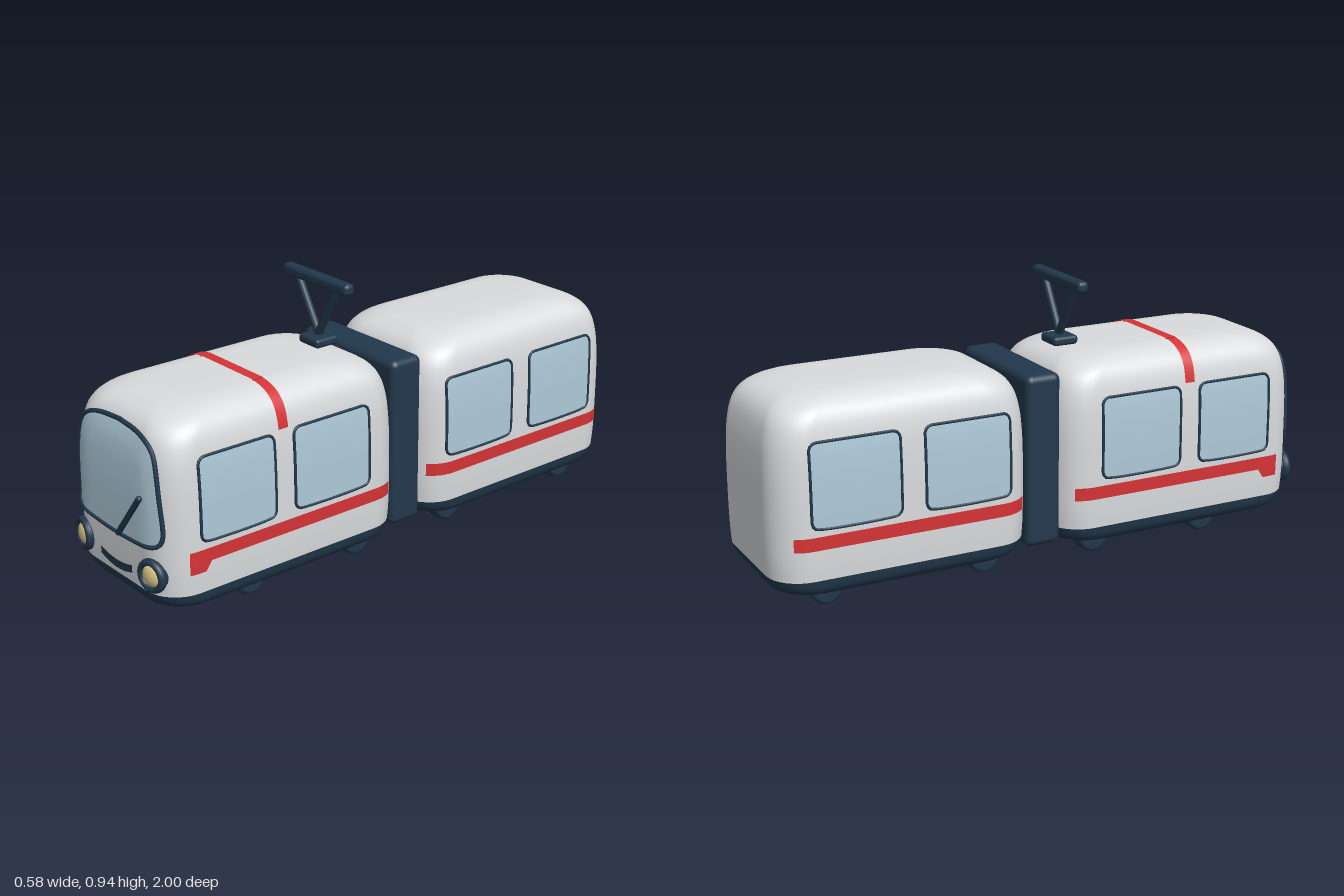
import * as THREE from 'three';
import { RoundedBoxGeometry } from 'three/addons/geometries/RoundedBoxGeometry.js';

const mat = (name, color, side = THREE.FrontSide) => {
  const m = new THREE.MeshStandardMaterial({ color, side });
  m.name = name;
  return m;
};

// Body outline: [height, inset from the widest section]
const spline = (pts, n) =>
  new THREE.SplineCurve(pts.map(p => new THREE.Vector2(...p))).getPoints(n);
const upper = spline([[0.11, 0.003], [0.2, 0], [0.4, 0], [0.5, 0.003], [0.56, 0.008], [0.61, 0.017],
  [0.645, 0.031], [0.67, 0.052], [0.687, 0.08], [0.697, 0.112], [0.702, 0.15]], 40);
const lower = spline([[0.035, 0.12], [0.038, 0.08], [0.046, 0.048], [0.06, 0.024], [0.08, 0.01], [0.11, 0.003]], 16);

const HX = 0.28, R = 0.12, ZK = 1.3; // half width, plan corner radius, extra inset along z

function insetAt(y) {
  for (let i = 1; i < upper.length; i++) {
    const a = upper[i - 1], b = upper[i];
    if (y <= b.x) return THREE.MathUtils.lerp(a.y, b.y, Math.max(0, (y - a.x) / (b.x - a.x)));
  }
  return 0.15;
}

// Stack of rounded rectangles, closed at the first or last row
function loft(rows, hz, capTop) {
  const pos = [], idx = [], N = 36;
  const ring = (y, hx, hzz, r) => {
    for (let q = 0; q < 4; q++) for (let k = 0; k < 9; k++) {
      const t = (q + k / 8) * Math.PI / 2;
      const sx = q === 0 || q === 3 ? 1 : -1, sz = q < 2 ? 1 : -1;
      pos.push(sx * (hx - r) + r * Math.cos(t), y, sz * (hzz - r) + r * Math.sin(t));
    }
  };
  if (!capTop) ring(rows[0].x, 0, 0, 0);
  for (const p of rows) ring(p.x, HX - p.y, hz - ZK * p.y, Math.min(R, (HX - p.y) * 0.9));
  if (capTop) ring(rows[rows.length - 1].x, 0, 0, 0);
  for (let i = 0; i < rows.length; i++) for (let j = 0; j < N; j++) {
    const a = i * N + j, b = i * N + (j + 1) % N, c = a + N, d = b + N;
    idx.push(a, c, b, b, c, d);
  }
  const g = new THREE.BufferGeometry();
  g.setAttribute('position', new THREE.Float32BufferAttribute(pos, 3));
  g.setIndex(idx);
  g.computeVertexNormals();
  return g;
}

// Distance of the curved wall from the car centre, at offset a along the wall
const wall = (a, ha, hb) => {
  const d = Math.max(0, Math.abs(a) - (ha - R));
  return hb - R + Math.sqrt(Math.max(0, R * R - d * d));
};
const sideMap = (car, s) => (z, y, off) => {
  const i = insetAt(y);
  return new THREE.Vector3(s * (wall(z - car.zc, car.hz - ZK * i, HX - i) + off), y, z);
};
const frontMap = car => (x, y, off) => {
  const i = insetAt(y);
  return new THREE.Vector3(x, y, car.zc + wall(x, HX - i, car.hz - ZK * i) + off);
};

// Pane filling an outline, following the wall
function pane(outline, map, off) {
  const n = outline.length, rings = 6;
  const c = outline.reduce((s, p) => s.add(p), new THREE.Vector2()).divideScalar(n);
  const g = new THREE.RingGeometry(0, 1, n, rings), p = g.attributes.position;
  for (let i = 0; i < p.count; i++) {
    const q = c.clone().lerp(outline[(i % (n + 1)) % n], Math.floor(i / (n + 1)) / rings);
    p.setXYZ(i, ...map(q.x, q.y, off));
  }
  g.computeVertexNormals();
  return g;
}
const rim = (outline, map, r) => new THREE.TubeGeometry(
  new THREE.CatmullRomCurve3(outline.map(p => map(p.x, p.y, 0.002)), true), 96, r, 8, true);

// Thin strip from a rule over (0..1, 0..1)
function strip(n, m, rule) {
  const g = new THREE.PlaneGeometry(1, 1, n, m), p = g.attributes.position;
  for (let i = 0; i < p.count; i++) p.setXYZ(i, ...rule(p.getX(i) + 0.5, p.getY(i) + 0.5));
  g.computeVertexNormals();
  return g;
}

function roundedRect(z0, z1, y0, y1, r) {
  const s = new THREE.Path();
  s.moveTo(z0 + r, y0);
  s.absarc(z1 - r, y0 + r, r, -Math.PI / 2, 0);
  s.absarc(z1 - r, y1 - r, r, 0, Math.PI / 2);
  s.absarc(z0 + r, y1 - r, r, Math.PI / 2, Math.PI);
  s.absarc(z0 + r, y0 + r, r, Math.PI, Math.PI * 1.5);
  return s.getSpacedPoints(80).slice(0, -1);
}

export function createModel() {
  const model = new THREE.Group();
  model.name = 'tram';
  const white = mat('body white', 0xd9dbdd);
  const navy = mat('dark navy', 0x22384c);
  const navyThin = navy;
  const glass = mat('window glass', 0xaecad8, THREE.DoubleSide);
  const red = mat('stripe red', 0xd63336, THREE.DoubleSide);
  const lamp = mat('lamp yellow', 0xdcc88a);
  const add = (name, geo, material, parent = model) => {
    const m = new THREE.Mesh(geo, material);
    m.name = name;
    parent.add(m);
    return m;
  };
  const rod = (name, a, b, r) => {
    const d = b.clone().sub(a);
    const m = add(name, new THREE.CapsuleGeometry(r, d.length(), 6, 16), navy);
    m.position.copy(a).lerp(b, 0.5);
    m.quaternion.setFromUnitVectors(new THREE.Vector3(0, 1, 0), d.normalize());
  };

  // Two cars with windows, stripes and wheels
  const cars = [
    { name: 'frontCar', z0: 0.015, z1: 0.977, windows: [[0.555, 0.845], [0.168, 0.477]], stripe: [0.07, 0.89], wheels: [0.615, 0.17] },
    { name: 'rearCar', z0: -1, z1: -0.09, windows: [[-0.488, -0.182], [-0.882, -0.574]], stripe: [-0.94, -0.12], wheels: [-0.25, -0.815] },
  ];
  const tyre = new THREE.LatheGeometry([[0, -0.033], [0.042, -0.033], [0.051, -0.029], [0.055, -0.02],
    [0.055, 0.02], [0.051, 0.029], [0.042, 0.033], [0, 0.033]].map(p => new THREE.Vector2(...p)), 24);
  tyre.rotateZ(Math.PI / 2);
  for (const car of cars) {
    const g = new THREE.Group();
    g.name = car.name;
    model.add(g);
    car.zc = (car.z0 + car.z1) / 2;
    car.hz = (car.z1 - car.z0) / 2;
    add('bodyShell', loft(upper, car.hz, true), white, g).position.z = car.zc;
    add('underbody', loft(lower, car.hz, false), navy, g).position.z = car.zc;
    for (const s of [1, -1]) {
      const map = sideMap(car, s);
      for (const [a, b] of car.windows) {
        const o = roundedRect(a, b, 0.285, 0.567, 0.025);
        add('sideWindow', pane(o, map, 0.003), glass, g);
        add('sideWindowFrame', rim(o, map, 0.005), navy, g);
      }
      const [a, b] = car.stripe;
      add('sideStripe', strip(40, 2, (u, v) => map(a + u * (b - a), 0.215 + v * 0.045, 0.004)), red, g);
      for (const z of car.wheels) add('wheel', tyre, navy, g).position.set(s * 0.193, 0.055, z);
    }
  }
  const front = cars[0];

  // Dropped end of the front stripe
  for (const s of [1, -1]) {
    const map = sideMap(front, s);
    add('stripeDrop', strip(8, 2, (u, v) =>
      map(THREE.MathUtils.lerp(0.832 - 0.022 * v, 0.89, u), 0.183 + v * 0.032, 0.004)), red);
  }

  // Stripe over the roof
  const half = [new THREE.Vector2(HX - insetAt(0.575), 0.575),
    ...upper.filter(p => p.x > 0.58).map(p => new THREE.Vector2(HX - p.y, p.x))];
  const arch = new THREE.SplineCurve([...half, ...half.map(p => new THREE.Vector2(-p.x, p.y)).reverse()]);
  add('roofStripe', strip(70, 1, (u, v) => {
    const p = arch.getPoint(u), t = arch.getTangent(u);
    return [p.x + t.y * 0.004, p.y - t.x * 0.004, 0.497 + v * 0.038];
  }), red);

  // Joint between the cars
  add('gangway', new RoundedBoxGeometry(0.48, 0.6, 0.13, 5, 0.025), navy).position.set(0, 0.365, -0.035);

  // Windscreen
  const fm = frontMap(front);
  const right = [[0.1, 0.63], [0.16, 0.614], [0.195, 0.585], [0.214, 0.53], [0.227, 0.43], [0.234, 0.34],
    [0.229, 0.3], [0.212, 0.282], [0.17, 0.273], [0.08, 0.266]];
  const loop = [[0, 0.637], ...right, [0, 0.264], ...right.map(([x, y]) => [-x, y]).reverse(), [0, 0.637]];
  const screen = new THREE.SplineCurve(loop.map(p => new THREE.Vector2(...p))).getSpacedPoints(80).slice(0, -1);
  add('windscreen', pane(screen, fm, 0.004), glass);
  add('windscreenFrame', rim(screen, fm, 0.008), navyThin);
  rod('wiper', new THREE.Vector3(0.033, 0.272, 0.989), new THREE.Vector3(0.162, 0.434, 0.989), 0.01);

  // Smiling grille
  add('grille', strip(24, 1, (u, v) => {
    const x = (u - 0.5) * 0.18, k = (x / 0.09) ** 2;
    return fm(x, 0.133 + 0.018 * k + v * (0.03 - 0.004 * k), 0.006);
  }), navy);

  // Headlights
  for (const s of [1, -1]) {
    const g = new THREE.Group();
    g.name = 'headlight';
    g.position.set(s * 0.195, 0.18, 0.976);
    g.rotation.y = s * 0.18;
    model.add(g);
    add('headlightRing', new THREE.TorusGeometry(0.046, 0.012, 12, 40), navy, g).scale.z = 1.3;
    const back = add('headlightBase', new THREE.CylinderGeometry(0.05, 0.05, 0.04, 32), navy, g);
    back.rotation.x = Math.PI / 2;
    back.position.z = -0.02;
    add('headlightLens', new THREE.SphereGeometry(0.038, 28, 16), lamp, g).scale.z = 0.5;
  }

  // Current collector on the roof
  add('collectorBase', new RoundedBoxGeometry(0.102, 0.032, 0.095, 4, 0.012), navy).position.set(0, 0.715, 0.153);
  for (const s of [1, -1])
    rod('collectorArm', new THREE.Vector3(0, 0.735, 0.153), new THREE.Vector3(s * 0.105, 0.912, 0.153), 0.014);
  add('collectorBar', new RoundedBoxGeometry(0.335, 0.042, 0.042, 5, 0.016), navy).position.set(0, 0.924, 0.153);

  return model;
}
